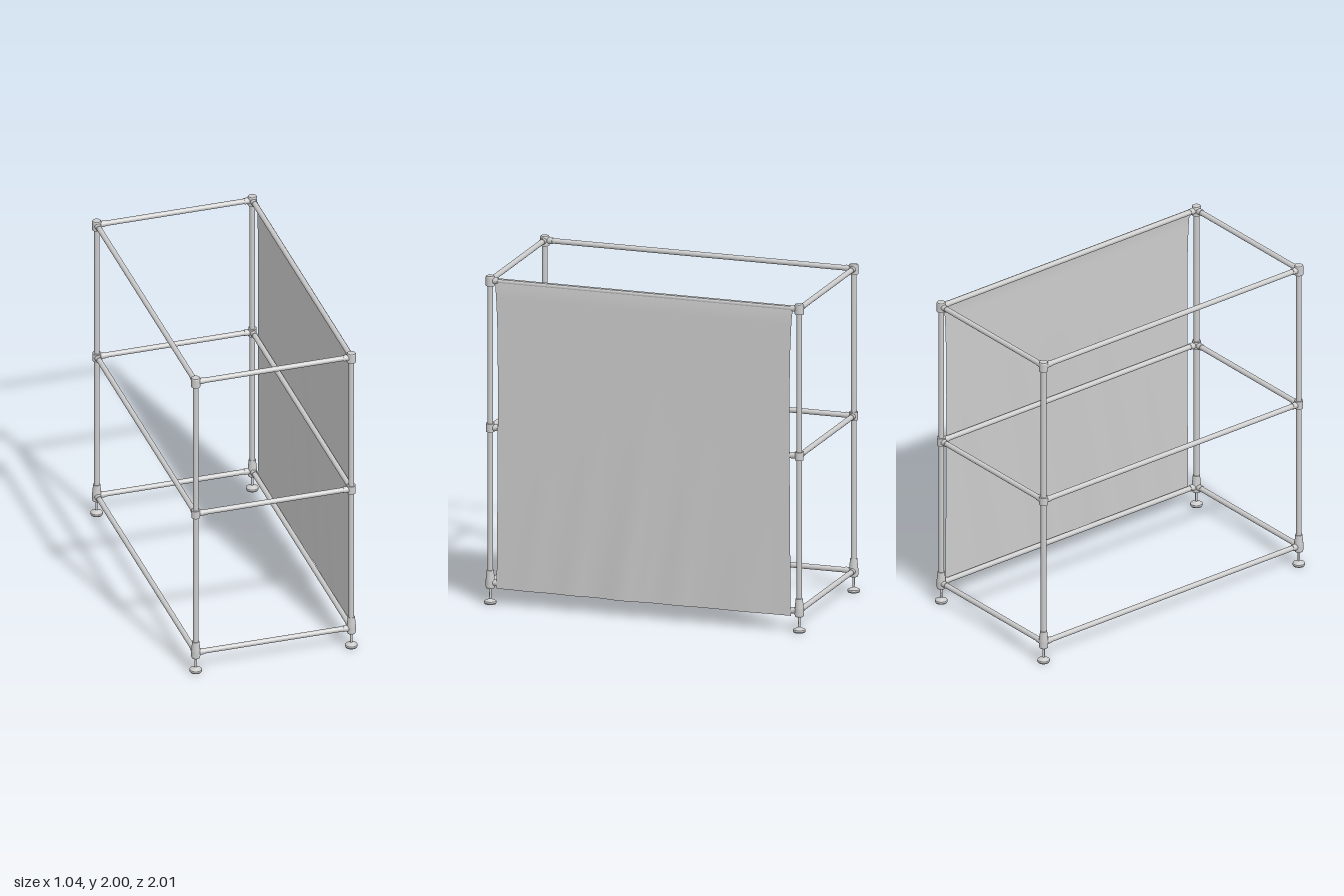
import * as THREE from 'three';

const X0 = -0.485, X1 = 0.476, Z = 0.965; // post positions
const LEVELS = [0.13, 1.075, 1.972];      // rail heights
const R = 0.017;

const grey = new THREE.MeshStandardMaterial({ color: 0xcccccc });
const clothMaterial = new THREE.MeshStandardMaterial({ color: 0xcccccc, side: THREE.DoubleSide });

function add(parent, name, geometry, x = 0, y = 0, z = 0, material = grey) {
  const mesh = new THREE.Mesh(geometry, material);
  mesh.name = name;
  mesh.position.set(x, y, z);
  parent.add(mesh);
  return mesh;
}

// Round bar between two points
function bar(parent, name, a, b, r) {
  const dir = b.clone().sub(a);
  const mesh = add(parent, name, new THREE.CylinderGeometry(r, r, dir.length(), 20));
  mesh.position.copy(a).add(b).multiplyScalar(0.5);
  mesh.quaternion.setFromUnitVectors(new THREE.Vector3(0, 1, 0), dir.normalize());
}

// Rail with a short socket collar at each end
function rail(parent, a, b) {
  const dir = b.clone().sub(a).normalize();
  const at = (p, d) => p.clone().addScaledVector(dir, d);
  bar(parent, 'rail', a, b, 0.016);
  bar(parent, 'railCollar', at(a, 0.02), at(a, 0.05), 0.019);
  bar(parent, 'railCollar', at(b, -0.05), at(b, -0.02), 0.019);
}

// Turned part; each profile segment is lathed alone so that its edges stay crisp
function turned(parent, name, profile, x, z) {
  const group = new THREE.Group();
  group.name = name;
  group.position.set(x, 0, z);
  for (let i = 1; i < profile.length; i++) {
    const pts = [profile[i - 1], profile[i]].map(([r, y]) => new THREE.Vector2(r, y));
    add(group, name + 'Surface', new THREE.LatheGeometry(pts, 24));
  }
  parent.add(group);
}

// Hanging sheet: flat at the top, with slanted folds growing towards the hem
function clothGeometry() {
  const geometry = new THREE.PlaneGeometry(1, 1, 80, 50);
  const p = geometry.attributes.position;
  const folds = [[0.14, 0.1, 0.019], [-0.2, 0.1, 0.01], [0.45, 0.08, 0.009], [-0.62, 0.14, 0.006], [0.72, 0.07, 0.005], [0, 0.06, 0.006]];
  for (let i = 0; i < p.count; i++) {
    const t = 0.5 - p.getY(i);              // 0 at the top, 1 at the hem
    const y = 1.985 - 1.885 * t;
    const half = 0.909 + 0.022 * Math.exp(-t * 9) + 0.01 * t * t;
    const z = -p.getX(i) * 2 * half;
    const u = z + 0.16 * (y - 0.1);
    const grow = Math.pow(Math.max(0, (t - 0.25) / 0.75), 1.3);
    let x = 0.488 + 0.007 * Math.min(1, t * 25);
    for (const [c, w, h] of folds) x += grow * h * Math.exp(-(((u - c) / w) ** 2));
    p.setXYZ(i, x, y, z);
  }
  geometry.computeVertexNormals();
  return geometry;
}

export function createModel() {
  const model = new THREE.Group();
  model.name = 'clothPanelFrame';

  // Corner posts with fittings and levelling feet
  for (const x of [X0, X1]) for (const z of [-Z, Z]) {
    bar(model, 'post', new THREE.Vector3(x, 0.1, z), new THREE.Vector3(x, 1.98, z), R);
    turned(model, 'topFitting', [[0, 1.94], [0.027, 1.94], [0.027, 1.995], [0.024, 2], [0, 2]], x, z);
    turned(model, 'middleFitting', [[R, 1.05], [0.026, 1.05], [0.026, 1.1], [R, 1.1]], x, z);
    turned(model, 'bottomFitting', [[0, 0.095], [0.024, 0.095], [0.027, 0.105], [0.027, 0.145], [0.021, 0.205], [R, 0.205]], x, z);
    turned(model, 'foot', [[0, 0], [0.034, 0], [0.038, 0.008], [0.036, 0.017], [0.015, 0.027], [0.007, 0.032], [0.007, 0.1]], x, z);
  }

  // Rails round all four sides at each level
  for (const y of LEVELS) {
    for (const z of [-Z, Z]) rail(model, new THREE.Vector3(X0, y, z), new THREE.Vector3(X1, y, z));
    for (const x of [X0, X1]) rail(model, new THREE.Vector3(x, y, -Z), new THREE.Vector3(x, y, Z));
  }

  // Cloth hung on the left side
  add(model, 'cloth', clothGeometry(), 0, 0, 0, clothMaterial);
  return model;
}
